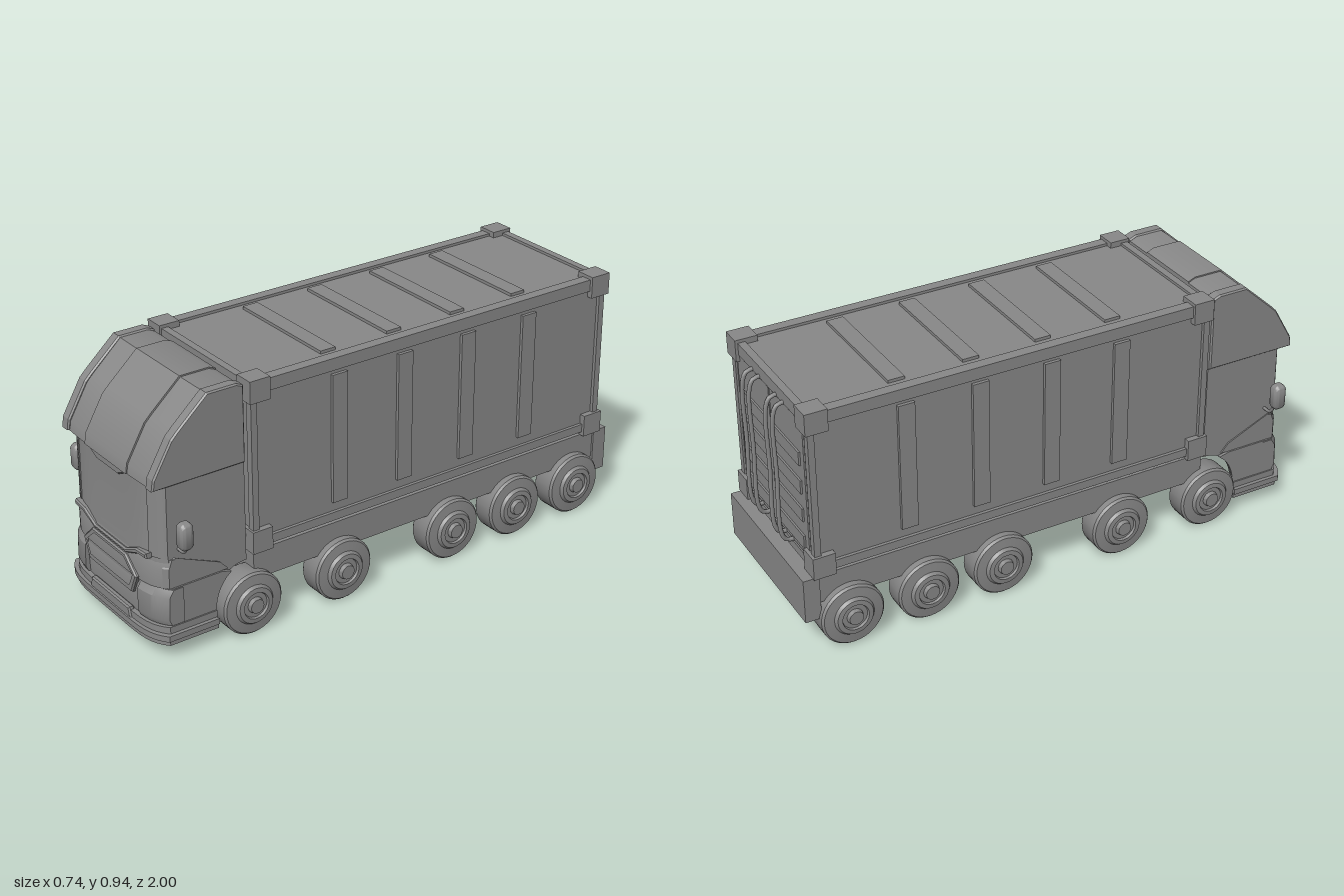
import * as THREE from 'three';
import { toCreasedNormals } from 'three/addons/utils/BufferGeometryUtils.js';
import { RoundedBoxGeometry } from 'three/addons/geometries/RoundedBoxGeometry.js';

const paint = new THREE.MeshStandardMaterial({ color: 0x888888 });

function add(parent, name, geometry, x = 0, y = 0, z = 0) {
  const mesh = new THREE.Mesh(geometry, paint);
  mesh.name = name;
  mesh.position.set(x, y, z);
  parent.add(mesh);
  return mesh;
}

// Box given by its limits on each axis
function box(parent, name, x0, x1, y0, y1, z0, z1) {
  const g = new THREE.BoxGeometry(x1 - x0, y1 - y0, z1 - z0);
  return add(parent, name, g, (x0 + x1) / 2, (y0 + y1) / 2, (z0 + z1) / 2);
}

const shapeOf = (pts) => new THREE.Shape(pts.map((p) => new THREE.Vector2(p[0], p[1])));

// Sweeps a side profile (z, y) across the width, or the given part of it;
// the front curves back by `bow` towards the outer edges
function across(shape, half, bow = 0, power = 6, [from, to] = [-1, 1]) {
  const g = new THREE.ExtrudeGeometry(shape, { depth: 2, steps: 24, bevelEnabled: false, curveSegments: 10 });
  g.translate(0, 0, -1).rotateY(-Math.PI / 2);
  const p = g.attributes.position;
  for (let i = 0; i < p.count; i++) {
    const x = (from + to) / 2 + Math.sin(p.getX(i) * Math.PI / 2) * (to - from) / 2;
    const front = THREE.MathUtils.clamp((p.getZ(i) - 0.68) / 0.25, 0, 1);
    p.setX(i, x * half);
    p.setZ(i, p.getZ(i) - bow * Math.abs(x) ** power * front);
  }
  return toCreasedNormals(g, 0.5);
}

// Open shell: a front wall plus two side skins
function hollow(parent, name, side, wall, half, bow, power) {
  add(parent, name + 'Front', across(shapeOf(wall), half, bow, power));
  for (const range of [[-1, -0.94], [0.94, 1]]) add(parent, name + 'Side', across(side, half, bow, power, range));
}

// Flat panel facing the front, with bevelled edges
function panel(pts, hole, depth) {
  const shape = shapeOf(pts);
  if (hole) shape.holes.push(shapeOf(hole));
  return new THREE.ExtrudeGeometry(shape, { depth, bevelThickness: 0.006, bevelSize: 0.005, bevelOffset: -0.005, bevelSegments: 1 });
}

// Mirrors the right half of an outline, listed from top to bottom
const mirrored = (pts) => [...pts, ...pts.map(([x, y]) => [-x, y]).reverse()];

function buildCab() {
  const cab = new THREE.Group();
  cab.name = 'cab';

  // Main shell, with a quarter wheel arch at the back
  const side = shapeOf([[0.965, 0.14], [0.975, 0.3], [0.968, 0.38], [0.965, 0.65], [0.62, 0.65], [0.62, 0.27]]);
  side.absarc(0.62, 0.12, 0.15, Math.PI / 2, 0.13, true);
  hollow(cab, 'cabShell', side, [[0.965, 0.14], [0.975, 0.3], [0.968, 0.38], [0.965, 0.65], [0.94, 0.65], [0.94, 0.14]], 0.286, 0.045, 6);
  box(cab, 'cabBack', -0.28, 0.28, 0.27, 0.65, 0.621, 0.635);

  // Lower body with wrap-round corner panels
  const lower = shapeOf([[0.97, 0.125], [0.975, 0.24], [0.965, 0.265], [0.74, 0.265], [0.69, 0.255]]);
  lower.absarc(0.62, 0.12, 0.15, 1.09, 0.03, true);
  hollow(cab, 'lowerBody', lower, [[0.97, 0.125], [0.975, 0.24], [0.965, 0.265], [0.94, 0.265], [0.94, 0.125]], 0.298, 0.05, 6);
  const corner = shapeOf([[0.978, 0.128], [0.988, 0.15], [0.985, 0.235], [0.968, 0.262], [0.93, 0.262], [0.93, 0.128]]);
  for (const range of [[-1, -0.58], [0.58, 1]]) add(cab, 'cornerPanel', across(corner, 0.302, 0.05, 6, range));
  hollow(cab, 'waist', shapeOf([[0.978, 0.265], [0.978, 0.34], [0.95, 0.375], [0.74, 0.3], [0.7, 0.265]]),
    [[0.978, 0.265], [0.978, 0.335], [0.965, 0.37], [0.94, 0.37], [0.94, 0.265]], 0.292, 0.05, 6);

  // Stepped front bumper
  for (const [y0, y1, z, half] of [[0.058, 0.078, 0.993, 0.308], [0.078, 0.1, 1, 0.317], [0.1, 0.125, 0.988, 0.303]]) {
    const outline = (back) => [[z, y0], [z, y1], [back, y1], [back, y0]];
    hollow(cab, 'bumper', shapeOf(outline(0.77)), outline(0.935), half, 0.05, 6);
  }
  add(cab, 'bumperCentre', panel(mirrored([[0.125, 0.135], [0.14, 0.08]]), null, 0.012), 0, 0, 0.976);

  // Grille frame, ledge under the windscreen, and windscreen pillars
  add(cab, 'grilleFrame', panel(
    mirrored([[0.11, 0.335], [0.175, 0.275], [0.14, 0.2]]),
    mirrored([[0.1, 0.325], [0.158, 0.275], [0.13, 0.218]]), 0.012), 0, 0, 0.97);
  add(cab, 'windscreenLedge', panel(
    [[0.235, 0.39], [0.17, 0.383], [0.1, 0.35], [-0.1, 0.35], [-0.17, 0.383], [-0.235, 0.39],
      [-0.235, 0.37], [-0.18, 0.365], [-0.105, 0.335], [0.105, 0.335], [0.18, 0.365], [0.235, 0.37]], null, 0.018), 0, 0, 0.958);
  for (const range of [[-1, -0.78], [0.78, 1]]) {
    const pillar = shapeOf([[0.972, 0.375], [0.969, 0.648], [0.93, 0.648], [0.93, 0.375]]);
    add(cab, 'windscreenPillar', across(pillar, 0.287, 0.045, 6, range));
  }

  // Roof fairing: main skin, raised middle strip and side panels
  const roof = [[0.978, 0.645], [0.972, 0.68], [0.9, 0.805], [0.875, 0.83], [0.76, 0.934], [0.65, 0.934], [0.622, 0.922], [0.622, 0.645]];
  const raised = shapeOf(roof.map(([z, y]) => [z + (z > 0.7 ? 0.004 : 0), y + (y > 0.66 ? 0.005 : 0)]));
  add(cab, 'roofFairing', across(shapeOf(roof), 0.285, 0.008, 4));
  add(cab, 'roofStrip', across(raised, 0.135));
  add(cab, 'visor', panel([[-0.135, 0.66], [-0.135, 0.648], [-0.07, 0.615], [0.07, 0.615], [0.135, 0.648], [0.135, 0.66]], null, 0.018), 0, 0, 0.953);
  for (const s of [-1, 1]) {
    const g = new THREE.ExtrudeGeometry(raised, { depth: 0.034, bevelThickness: 0.006, bevelSize: 0.005, bevelOffset: -0.005, bevelSegments: 1 });
    g.translate(0, 0, -0.017).rotateY(-Math.PI / 2);
    add(cab, 'fairingSide', g, s * 0.274, 0, -0.002);

    // Mirror on a bent arm
    const arm = new THREE.CatmullRomCurve3([[0.275, 0.403], [0.318, 0.405], [0.334, 0.42], [0.348, 0.45]]
      .map(([x, y]) => new THREE.Vector3(s * x, y, 0.885)));
    add(cab, 'mirrorArm', new THREE.TubeGeometry(arm, 12, 0.006, 8));
    const head = new RoundedBoxGeometry(0.055, 0.104, 0.058, 4, 0.02);
    const p = head.attributes.position;
    for (let i = 0; i < p.count; i++) {
      const taper = 1 - 120 * p.getY(i) ** 2;
      p.setXYZ(i, p.getX(i) * taper, p.getY(i), p.getZ(i) * taper);
    }
    add(cab, 'mirror', toCreasedNormals(head, 0.6), s * 0.348, 0.483, 0.895);
  }
  return cab;
}

function buildContainer() {
  const c = new THREE.Group();
  c.name = 'container';
  box(c, 'containerBody', -0.294, 0.294, 0.315, 0.92, -0.945, 0.596);

  for (const s of [-1, 1]) {
    const sided = (name, a, b, ...rest) => box(c, name, Math.min(s * a, s * b), Math.max(s * a, s * b), ...rest);
    sided('topRail', 0.265, 0.306, 0.885, 0.93, -0.95, 0.6);
    sided('bottomRail', 0.265, 0.306, 0.313, 0.345, -0.95, 0.6);
    for (const [z0, z1] of [[0.53, 0.61], [-0.963, -0.88]]) {
      sided('cornerBlock', 0.24, 0.317, 0.86, 0.942, z0, z1);
      sided('cornerBlock', 0.24, 0.317, 0.298, 0.382, z0, z1);
    }
    for (const z of [0.59, -0.94]) sided('cornerPost', 0.28, 0.307, 0.32, 0.92, z - 0.012, z + 0.012);
    for (let i = 0; i < 4; i++) {
      const z = 0.24 - i * 0.278;
      sided('sideRib', 0.29, 0.306, 0.382, 0.868, z - 0.031, z + 0.031);
      // Raised bars on the rear doors
      const y = 0.40 + i * 0.11;
      sided('doorBar', 0.035, 0.235, y - 0.026, y + 0.026, -0.957, -0.94);
    }
    sided('rearDoor', 0.004, 0.262, 0.35, 0.88, -0.95, -0.94);

    // Locking rods that bend into the doors at both ends
    for (const x of [0.068, 0.125]) {
      const path = new THREE.CatmullRomCurve3([[0.89, -0.945], [0.885, -0.975], [0.85, -0.991], [0.62, -0.992], [0.39, -0.991], [0.355, -0.975], [0.35, -0.945]]
        .map(([y, z]) => new THREE.Vector3(s * x, y, z)), false, 'centripetal');
      add(c, 'lockingRod', new THREE.TubeGeometry(path, 36, 0.008, 8));
    }
  }

  // Roof ribs and end rails
  for (let i = 0; i < 4; i++) {
    const z = 0.24 - i * 0.278;
    box(c, 'roofRib', -0.235, 0.235, 0.915, 0.931, z - 0.031, z + 0.031);
  }
  for (const [z0, z1] of [[0.575, 0.602], [-0.953, -0.925]]) {
    box(c, 'endRailTop', -0.27, 0.27, 0.885, 0.93, z0, z1);
    box(c, 'endRailBottom', -0.27, 0.27, 0.313, 0.345, z0, z1);
  }
  return c;
}

function buildWheels() {
  const wheels = new THREE.Group();
  wheels.name = 'wheels';
  // Hollow inner rim, tyre, then stepped hub
  const profile = [[0, 0.035], [0.08, 0.035], [0.1, 0], [0.113, 0], [0.118, 0.008], [0.118, 0.084], [0.111, 0.092],
    [0.075, 0.096], [0.067, 0.107], [0.05, 0.109], [0.047, 0.1], [0.03, 0.1], [0.026, 0.115], [0, 0.115]];
  const lathe = new THREE.LatheGeometry(profile.map(([r, a]) => new THREE.Vector2(r, a)), 36);
  const g = toCreasedNormals(lathe.rotateZ(-Math.PI / 2), 0.6);
  for (const z of [0.623, 0.242, -0.245, -0.54, -0.832]) {
    for (const s of [-1, 1]) {
      const wheel = add(wheels, 'wheel', g, s * 0.24, 0.118, z);
      if (s < 0) wheel.rotation.y = Math.PI;
    }
  }
  return wheels;
}

export function createModel() {
  const truck = new THREE.Group();
  truck.name = 'truck';
  truck.add(buildCab(), buildContainer(), buildWheels());
  box(truck, 'chassis', -0.3, 0.3, 0.19, 0.3, -0.95, 0.6);
  box(truck, 'rearPlate', -0.308, 0.308, 0.13, 0.3, -1, -0.94);
  return truck;
}
